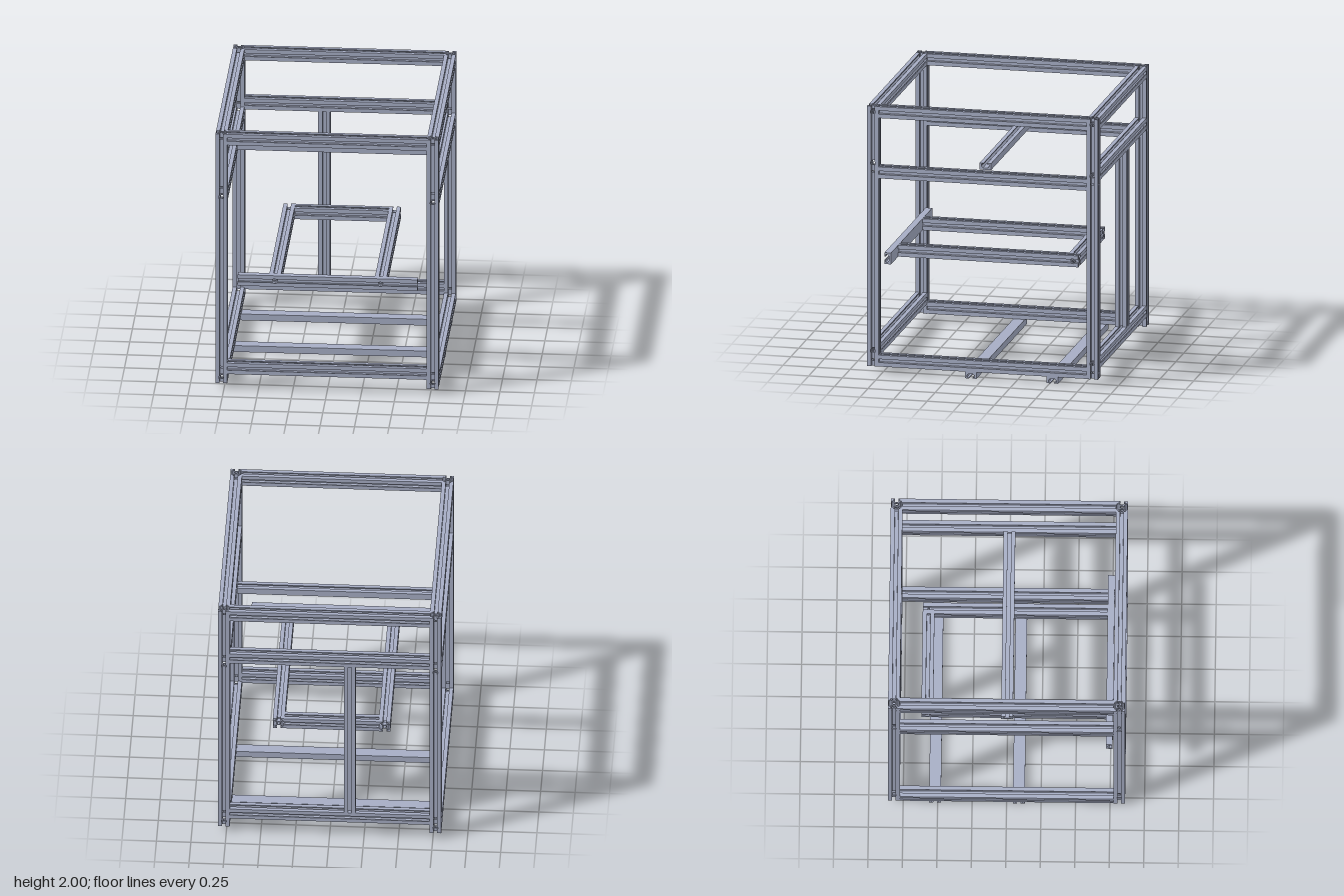
import * as THREE from 'three';
import { mergeGeometries } from 'three/addons/utils/BufferGeometryUtils.js';

const W = 0.0855;          // profile width
const S = W / 20;          // one profile grid step
const H = 11.5 * S;        // half-height rail thickness

// One quadrant of the slotted square profile, in profile steps
const QUAD = [[3.8, 0], [3.8, 2.8], [6.6, 5.6], [8.2, 5.6], [8.2, 3], [10, 3], [10, 10],
  [3, 10], [3, 8.2], [5.6, 8.2], [5.6, 6.6], [2.8, 3.8], [0, 3.8], [0, 0]];
// Right half of the C-shaped rail, open towards +y
const HALF = [[0, 0], [10, 0], [10, 11.5], [3, 11.5], [3, 9.7], [6.8, 9.7], [6.8, 6.5], [4, 3.5], [0, 3.5]];

const toShape = (pts) => new THREE.Shape(pts.map(([x, y]) => new THREE.Vector2(x * S, y * S)));

function squareSection() {
  let ring = QUAD.slice(0, -2);
  const all = [];
  for (let i = 0; i < 4; i++) {
    all.push(...ring);
    ring = ring.map(([x, y]) => [-y, x]);
  }
  const shape = toShape(all);
  shape.holes.push(new THREE.Path().absarc(0, 0, 2.5 * S, 0, Math.PI * 2, true));
  return shape;
}

function railSection() {
  const mirrored = HALF.slice(1, -1).reverse().map(([x, y]) => [-x, y]);
  return toShape([...HALF.slice(1), ...mirrored]);
}

// Keep the part of a polygon with x > w
function clip(pts, w) {
  const out = [];
  pts.forEach((a, i) => {
    const b = pts[(i + 1) % pts.length];
    if (a[0] >= w) out.push(a);
    if ((a[0] >= w) !== (b[0] >= w)) {
      const t = (w - a[0]) / (b[0] - a[0]);
      out.push([w, a[1] + t * (b[1] - a[1])]);
    }
  });
  return out;
}

const SQUARE = { section: squareSection(), part: QUAD, mirrors: [[1, 1], [-1, 1], [-1, -1], [1, -1]] };
const RAIL = { section: railSection(), part: HALF, mirrors: [[1, 1], [-1, 1]] };

// Extrude a profile from a to b; holes are [position, swap], swap drilling along the other section axis
function extrusion(profile, a, b, holes = []) {
  const geos = [];
  const add = (shape, from, to) => geos.push(
    new THREE.ExtrudeGeometry(shape, { depth: to - from, bevelEnabled: false, curveSegments: 10 }).translate(0, 0, from));
  const R = 4.2, N = 6, step = 2 * R / N;
  let start = a;
  for (const [pos, swap] of [...holes].sort((p, q) => p[0] - q[0])) {
    add(profile.section, start, pos - R * S);
    // Round drilled hole, built as thin slices of the split section
    for (let i = 0; i < N; i++) {
      const t = -R + (i + 0.5) * step;
      const w = Math.max(2.5, Math.sqrt(R * R - t * t));
      const piece = clip(profile.part, w);
      for (const [mx, my] of profile.mirrors) {
        const pts = piece.map(([x, y]) => (swap ? [y * my, x * mx] : [x * mx, y * my]));
        add(toShape(pts), pos + (t - step / 2) * S, pos + (t + step / 2) * S);
      }
    }
    start = pos + R * S;
  }
  add(profile.section, start, b);
  return mergeGeometries(geos);
}

export function createModel() {
  const group = new THREE.Group();
  const aluminium = new THREE.MeshStandardMaterial({ color: 0xa6adc4 });
  aluminium.name = 'aluminium';

  function beam(name, axis, [x, y, z], a, b, { holes, profile = SQUARE, roll = 0 } = {}) {
    const geo = extrusion(profile, a, b, holes).rotateZ(roll);
    if (axis === 'y') geo.rotateX(-Math.PI / 2);
    if (axis === 'x') geo.rotateY(Math.PI / 2);
    const mesh = new THREE.Mesh(geo, aluminium);
    mesh.name = name;
    mesh.position.set(x, y, z);
    group.add(mesh);
  }

  const PX = 0.768, PZ = 0.817;                 // post centres
  const TOP = 2 - W / 2, LOW_X = 0.165, LOW_Z = 0.094, MID_X = 1.573, MID_Z = 1.505;
  const endX = PX - W / 2, endZ = PZ - W / 2;

  // Corner posts, drilled where the cross beams bolt on
  const postHoles = [[LOW_Z, false], [MID_Z, false], [LOW_X, true], [MID_X, true], [TOP, true]];
  for (const sx of [-1, 1]) for (const sz of [-1, 1]) {
    beam('cornerPost', 'y', [sx * PX, 0, sz * PZ], 0.05, 2, { holes: postHoles });
  }

  // Front and back beams
  for (const sz of [-1, 1]) {
    beam('topCrossBeam', 'x', [0, TOP, sz * PZ], -endX, endX);
    beam('bottomCrossBeam', 'x', [0, LOW_X, sz * PZ], -endX, endX);
  }
  beam('backMiddleBeam', 'x', [0, MID_X, -PZ], -endX, endX);
  beam('backUpright', 'y', [-0.146, 0, -PZ], LOW_X + W / 2, MID_X - W / 2);

  // Side beams
  for (const sx of [-1, 1]) {
    for (const [name, y] of [['topSideBeam', TOP], ['middleSideBeam', MID_Z], ['bottomSideBeam', LOW_Z]]) {
      beam(name, 'z', [sx * PX, y, 0], -endZ, endZ);
    }
  }

  // Thin rails: one across the middle side beams, two under the frame
  beam('upperRail', 'x', [0, MID_Z + W / 2, 0.002], -0.715, 0.715, { profile: RAIL });
  for (const z of [0.089, -0.519]) {
    beam('floorRail', 'x', [0, H, z], -0.803, 0.803, { profile: RAIL, roll: Math.PI });
  }

  // Carriage: two arms, a back beam and a drilled front rail
  const CY = 0.822, ARM = 0.384, BACK = -0.58, FRONT = 0.718;
  for (const sx of [-1, 1]) {
    beam('carriageArm', 'z', [sx * ARM - 0.002, CY, 0], BACK - W / 2, FRONT, { holes: [[BACK, true]] });
  }
  beam('carriageBackBeam', 'x', [-0.002, CY, BACK], -ARM + W / 2, ARM - W / 2);
  beam('carriageFrontRail', 'x', [-0.002, CY, FRONT], -0.654, 0.654,
    { profile: RAIL, roll: Math.PI / 2, holes: [[-ARM, false], [ARM, false]] });

  return group;
}
